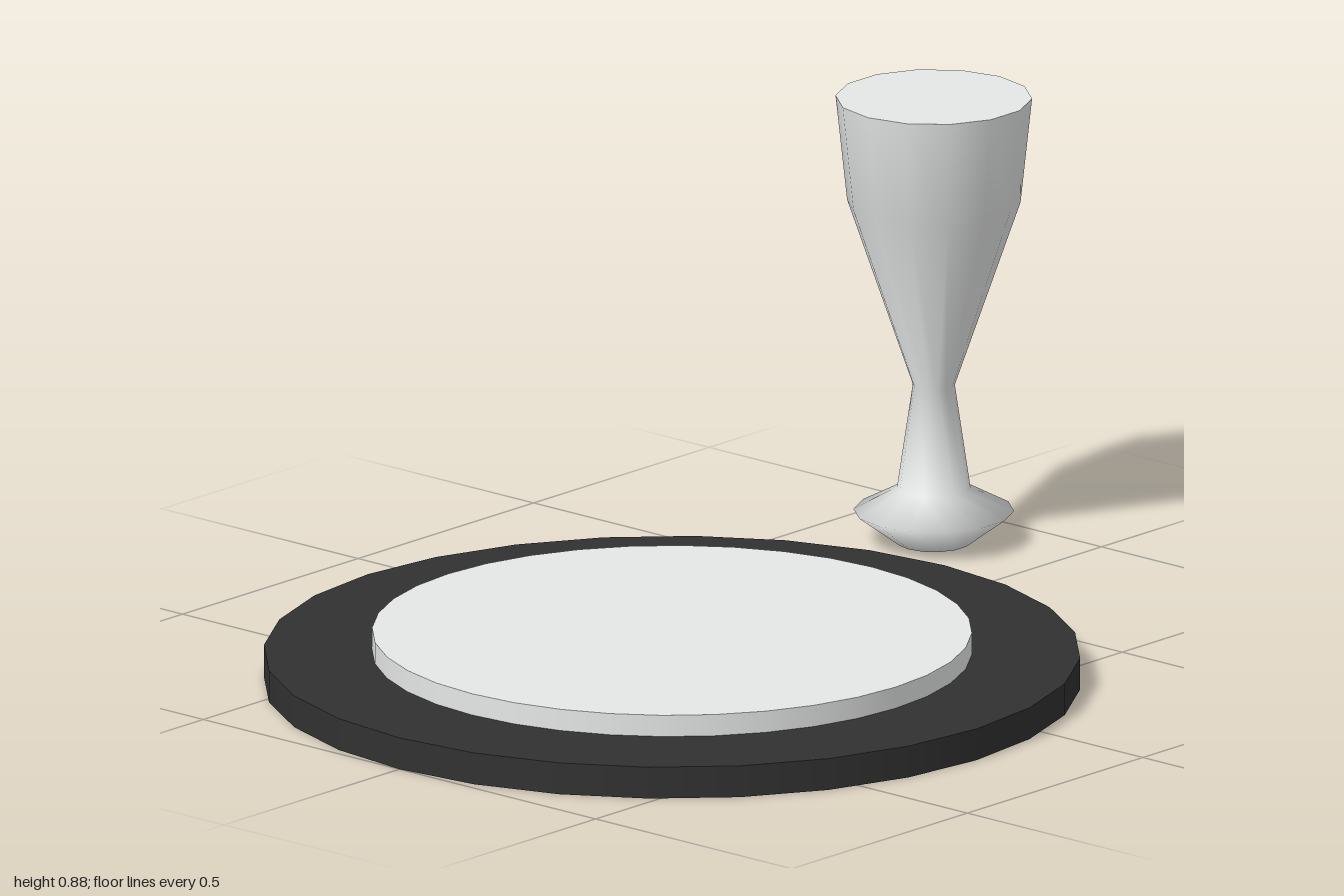
import * as THREE from 'three';

export function createModel() {
  const model = new THREE.Group();
  // The parts are hollow and open below, so their insides show
  const charcoal = new THREE.MeshStandardMaterial({ color: 0x313131, side: THREE.DoubleSide });
  charcoal.name = 'charcoal';
  const paleGrey = new THREE.MeshStandardMaterial({ color: 0xe6e8e7, side: THREE.DoubleSide });
  paleGrey.name = 'paleGrey';

  function add(name, geometry, material, x, y, z) {
    const mesh = new THREE.Mesh(geometry, material);
    mesh.name = name;
    mesh.position.set(x, y, z);
    model.add(mesh);
  }

  // Flat round lid facing up
  function lid(name, radius, sides, material, x, y, z) {
    add(name, new THREE.CircleGeometry(radius, sides).rotateX(-Math.PI / 2), material, x, y, z);
  }

  // Shallow round slab: a wall and a lid, open below
  function slab(name, radius, sides, bottom, top, material) {
    const x = -0.2235;
    const wall = new THREE.CylinderGeometry(radius, radius, top - bottom, sides, 1, true);
    add(name + 'Edge', wall, material, x, (bottom + top) / 2, 0);
    lid(name + 'Top', radius, sides, material, x, top, 0);
  }

  // Place mat and the plate on it
  slab('placeMat', 0.7765, 28, 0, 0.062, charcoal);
  slab('plate', 0.57, 36, 0.062, 0.104, paleGrey);

  // Goblet: smooth foot, stem and bowl in one turned profile
  const profile = [
    [0.07, 0], [0.153, 0.063], [0.07, 0.108],
    [0.04, 0.312], [0.165, 0.675], [0.187, 0.881],
  ].map(([r, y]) => new THREE.Vector2(r, y));
  const gobletX = 0.813, gobletZ = -0.26;
  add('goblet', new THREE.LatheGeometry(profile, 14, Math.PI / 2), paleGrey, gobletX, 0, gobletZ);

  // Flat top closing the bowl
  lid('gobletTop', 0.187, 14, paleGrey, gobletX, 0.881, gobletZ);

  return model;
}
